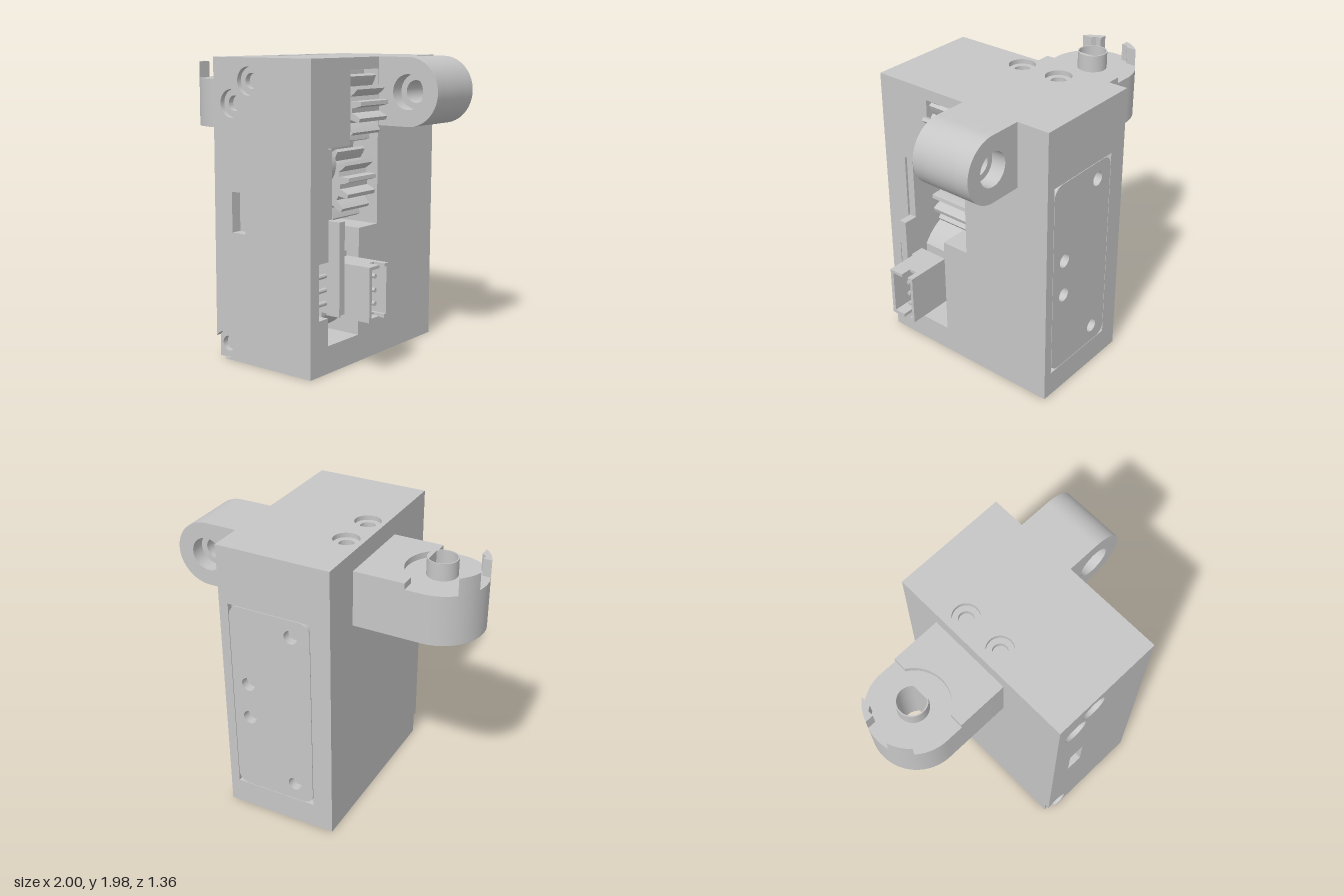
import * as THREE from 'three';
import { toCreasedNormals } from 'three/addons/utils/BufferGeometryUtils.js';

const grey = new THREE.MeshStandardMaterial({ color: 0xc6c6c6 });
grey.name = 'light grey plastic';

const poly = (pts) => new THREE.Shape(pts.map(([x, y]) => new THREE.Vector2(x, y)));
const rect = (x0, y0, x1, y1) => poly([[x0, y0], [x1, y0], [x1, y1], [x0, y1]]);
const disc = (x, y, r) => new THREE.Shape().absarc(x, y, r, 0, Math.PI * 2, false);
const cut = (shape, ...holes) => { shape.holes.push(...holes); return shape; };

export function createModel() {
  const group = new THREE.Group();

  function add(name, geometry) {
    const mesh = new THREE.Mesh(geometry, grey);
    mesh.name = name;
    group.add(mesh);
  }
  // Extrude from a to b along an axis. Shape coordinates: z -> (x, y), y -> (x, -z), x -> (-z, y)
  function extrude(name, shape, axis, a, b) {
    const g = new THREE.ExtrudeGeometry(shape, { depth: b - a, bevelEnabled: false, curveSegments: 28 });
    g.translate(0, 0, a);
    if (axis === 'y') g.rotateX(-Math.PI / 2);
    if (axis === 'x') g.rotateY(Math.PI / 2);
    add(name, toCreasedNormals(g, 0.5));
  }
  function box(name, x0, x1, y0, y1, z0, z1) {
    add(name, new THREE.BoxGeometry(x1 - x0, y1 - y0, z1 - z0)
      .translate((x0 + x1) / 2, (y0 + y1) / 2, (z0 + z1) / 2));
  }

  const L = -0.24, R = 0.555, H = 1.976, F = 0.675, B = -0.68, q = Math.PI / 2;

  // Housing core with the stepped opening in its side
  const opening = poly([[-0.5, 0.18], [-0.18, 0.18], [-0.18, 0.89], [0.02, 0.89], [0.02, 1.9], [-0.28, 1.9],
    [-0.28, 1.43], [-0.5, 1.43], [-0.5, 0.72], [-0.595, 0.72], [-0.595, 0.36], [-0.5, 0.36]]);
  extrude('housingCore', cut(rect(-0.6, 0.06, 0.62, 1.91), opening), 'x', -0.2, R);
  box('housingSideWall', L, -0.2, 0.06, 1.91, -0.62, 0.6);

  // Front wall: outer layer holds the counterbores, inner layer the screw holes
  const frontHoles = [[0.055, 1.83], [-0.09, 1.685]];
  const foot = [-0.165, 0.095];
  const socket = () => rect(-0.09, 0.856, 0.025, 1.122);
  const a = Math.PI - Math.acos(0.075 / 0.09);
  // The lowest counterbore breaks out through the corner of the wall
  const face = poly([[foot[0], 0], [R, 0], [R, H], [L, H], [L, 0.145]]);
  face.absarc(foot[0], foot[1], 0.09, a, -q, true);
  extrude('frontWallOuter', cut(face, socket(), ...frontHoles.map(([x, y]) => disc(x, y, 0.09))), 'z', 0.64, F);
  extrude('frontWallInner', cut(rect(L, 0, R, H), socket(),
    ...[...frontHoles, foot].map(([x, y]) => disc(x, y, 0.05))), 'z', 0.6, 0.64);
  for (const y of [0.902, 0.96, 1.018, 1.076]) {
    extrude('socketPin', disc(-0.033, y, 0.015), 'z', 0.59, 0.608);
  }

  // Top wall with two counterbored holes
  const topHoles = (r) => [0.24, -0.055].map((y) => disc(-0.12, y, r));
  extrude('topWallOuter', cut(rect(L, -0.6, R, 0.62), ...topHoles(0.088)), 'y', 1.945, H);
  extrude('topWallInner', cut(rect(L, -0.6, R, 0.62), ...topHoles(0.05)), 'y', 1.91, 1.945);

  // Bottom wall with the long slot
  extrude('bottomWall', cut(rect(L, -0.6, R, 0.62), rect(-0.17, -0.56, 0.5, -0.49)), 'y', 0, 0.06);

  // Back wall, with a rounded cover plate set into a square recess
  const backHoles = () => [[0.04, 1.455], [0.04, 0.31], [0.37, 1.01], [0.37, 0.75]].map(([x, y]) => disc(x, y, 0.048));
  extrude('backWallInner', cut(rect(L, 0, R, H), ...backHoles()), 'z', -0.64, -0.62);
  extrude('backWallOuter', cut(rect(L, 0, R, H), rect(-0.1, 0.18, 0.49, 1.58)), 'z', B, -0.64);
  const x0 = -0.096, x1 = 0.486, y0 = 0.184, y1 = 1.576, r = 0.075;
  const cover = new THREE.Shape();
  cover.absarc(x1 - r, y0 + r, r, -q, 0, false);
  cover.absarc(x1 - r, y1 - r, r, 0, q, false);
  cover.absarc(x0 + r, y1 - r, r, q, 2 * q, false);
  cover.absarc(x0 + r, y0 + r, r, 2 * q, 3 * q, false);
  extrude('backCover', cut(cover, ...backHoles()), 'z', B, -0.64);

  // Pivot lug with a through hole counterbored from both ends
  const ly = H - 0.22;
  for (const [z0, z1, hole] of [[-0.45, -0.35, 0.113], [-0.35, -0.12, 0.072], [-0.12, -0.025, 0.113]]) {
    const lug = poly([[R - 0.02, ly - 0.22], [0.78, ly - 0.22]]);
    lug.absarc(0.78, ly, 0.22, -q, q, false);
    lug.lineTo(R - 0.02, H);
    extrude('pivotLug', cut(lug, disc(0.78, ly, hole)), 'z', z0, z1);
  }

  // Rounded arm with a D-shaped bore, raised pad, collar and two prongs
  const cx = -0.705, cy = 0.09, armR = 0.295;
  const bore = () => {
    const t = Math.acos(0.07 / 0.092);
    return new THREE.Shape().absarc(cx, cy, 0.092, t, 2 * Math.PI - t, false);
  };
  const arm = poly([[L, cy - armR], [L, cy + armR], [cx, cy + armR]]);
  arm.absarc(cx, cy, armR, q, 3 * q, false);
  extrude('arm', cut(arm, bore()), 'y', 1.467, 1.806);
  extrude('armCollar', cut(disc(cx, cy, 0.1), bore()), 'y', 1.806, 1.922);
  const pad = poly([[cx + 0.12, cy - armR], [L, cy - armR], [L, cy + armR], [cx + 0.12, cy + armR]]);
  const t = Math.acos(0.12 / 0.235);
  pad.absarc(cx, cy, 0.235, t, -t, true);
  extrude('armPad', pad, 'y', 1.806, 1.847);
  for (const s of [1, -1]) {
    const prong = poly([[cx - 0.225, cy + s * 0.09], [cx - 0.225, cy + s * 0.13], [cx - 0.195, cy + s * 0.15]]);
    prong.absarc(cx, cy, armR, s * Math.atan2(0.221, -0.195), s * Math.atan2(0.09, -0.281), s < 0);
    extrude('armProng', prong, 'y', 1.806, 1.922);
  }

  // Meshing gears
  function gear(name, x, y, tip, root, teeth, phase) {
    const pts = [];
    for (let i = 0; i < teeth; i++) {
      for (const [f, rad] of [[-0.3, root], [-0.22, (tip + root) / 2], [-0.12, tip], [0.12, tip], [0.22, (tip + root) / 2], [0.3, root]]) {
        const w = ((i + f + phase) / teeth) * Math.PI * 2;
        pts.push([x + rad * Math.cos(w), y + rad * Math.sin(w)]);
      }
    }
    extrude(name, poly(pts), 'z', -0.02, 0.275);
  }
  gear('upperGear', 0.4, 1.665, 0.235, 0.165, 14, 0.25);
  gear('lowerGear', 0.275, 1.175, 0.27, 0.2, 16, 0.3);
  extrude('gearHub', disc(0.3, 1.29, 0.14), 'z', 0.27, 0.45);

  // Motor can with two flat sides
  const m = Math.asin(0.195 / 0.354);
  const can = new THREE.Shape();
  can.absarc(0.16, 0.535, 0.354, m, Math.PI - m, false);
  can.absarc(0.16, 0.535, 0.354, Math.PI + m, 2 * Math.PI - m, false);
  extrude('motor', can, 'z', 0.17, 0.44);

  // Circuit board
  extrude('circuitBoard', poly([[-0.15, 0.39], [0.64, 0.39], [0.64, 0.98], [0.54, 0.98], [0.54, 1.42], [-0.15, 1.42]]),
    'z', 0.445, 0.498);

  // Plug socket: closed base, open shroud, notched rim, and pins
  box('plugBase', 0.5, 0.6, 0.36, 0.71, 0.23, 0.445);
  extrude('plugShroud', cut(rect(-0.43, 0.36, -0.23, 0.71), rect(-0.405, 0.385, -0.25, 0.69)), 'x', 0.6, 0.74);
  const rim = (e, i, n) => poly([[e, 0.36], [n, 0.36], [n, 0.385], [i, 0.385], [i, 0.69], [n, 0.69], [n, 0.71], [e, 0.71]]);
  extrude('plugRim', rim(-0.43, -0.405, -0.325), 'x', 0.74, 0.82);
  extrude('plugRim', rim(-0.23, -0.25, -0.27), 'x', 0.74, 0.82);
  for (const y of [0.455, 0.54, 0.63]) {
    extrude('plugPin', disc(-0.31, y, 0.014), 'x', 0.58, 0.78);
    extrude('boardPin', disc(0.53, y, 0.015), 'z', 0.49, 0.585);
  }

  return group;
}
